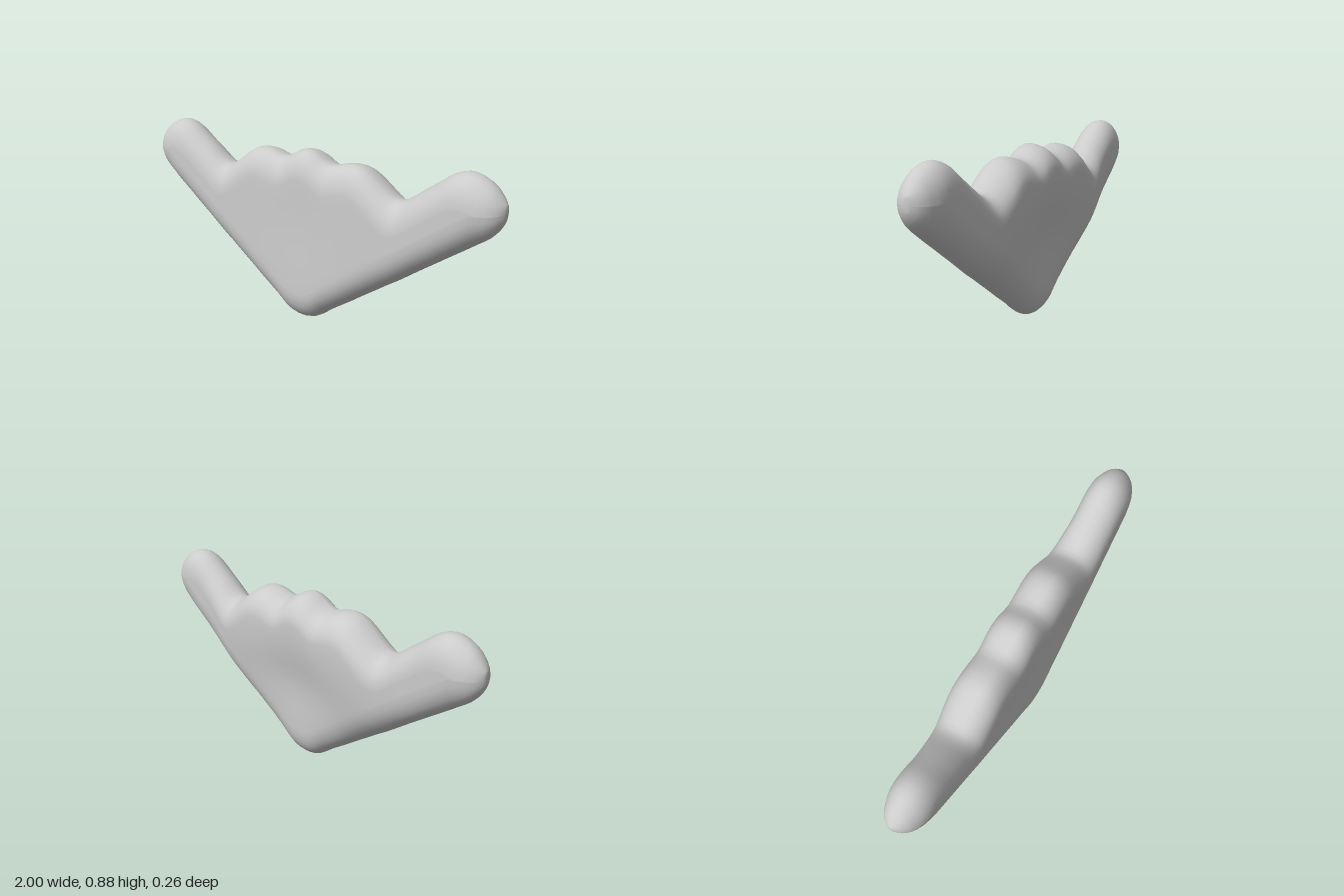
import * as THREE from 'three';

// Half outline: [x, bottom y, top y]
const HALF = [
  [0, 0.003, 0.85], [0.05, 0.01, 0.838], [0.09, 0.03, 0.815], [0.14, 0.068, 0.796], [0.2, 0.108, 0.81],
  [0.26, 0.148, 0.82], [0.32, 0.19, 0.81], [0.38, 0.23, 0.772], [0.45, 0.278, 0.722], [0.5, 0.31, 0.698],
  [0.55, 0.345, 0.713], [0.62, 0.395, 0.764], [0.7, 0.45, 0.82], [0.76, 0.492, 0.862], [0.82, 0.533, 0.882],
  [0.88, 0.575, 0.873], [0.94, 0.618, 0.84], [0.975, 0.658, 0.802], [0.993, 0.69, 0.778], [1, 0.712, 0.765],
];
const ARC = 7, ROWS = 8;
const { smoothstep } = THREE.MathUtils;

// Depth of the front and back faces at a point of the outline
const frontDepth = (x, y) =>
  0.138 - 0.037 * y - 0.006 * Math.exp(-(x * x) / 0.03 - ((y - 0.5) ** 2) / 0.04);
function backDepth(x, y) {
  const ax = Math.abs(x);
  const body = 0.045 * smoothstep(y, 0.12, 0.62) * (1 - smoothstep(ax, 0.35, 0.72));
  const hollow = 0.025 * Math.exp(-(x * x) / 0.05 - ((y - 0.42) ** 2) / 0.025);
  return 0.083 + 0.012 * smoothstep(ax, 0.2, 0.6) + body - hollow;
}

// Rising half of a section: rounded bottom, flat middle, rounded top, as [y, fullness]
function halfProfile(bottom, top) {
  const h = top - bottom;
  const rb = Math.min(h / 2, 0.15), rt = Math.min(h / 2, 0.135);
  const points = [];
  for (let i = 0; i <= ARC; i++) {
    const a = (i / ARC) * Math.PI / 2;
    points.push([bottom + rb * (1 - Math.cos(a)), Math.sin(a)]);
  }
  for (let i = 1; i < ROWS; i++) {
    points.push([THREE.MathUtils.lerp(bottom + rb, top - rt, i / ROWS), 1]);
  }
  for (let i = 0; i <= ARC; i++) {
    const a = (i / ARC) * Math.PI / 2;
    points.push([top - rt * (1 - Math.sin(a)), Math.cos(a)]);
  }
  return points;
}

// Closed loop in the plane of one x: up the front, down the back
function section({ x, y: bottom, z: top }) {
  const t = THREE.MathUtils.clamp((Math.abs(x) - 0.84) / 0.16, 0, 1);
  const taper = Math.max(Math.sqrt(1 - t * t), 0.12);
  const mid = 0.02 * (1 - Math.abs(x));
  const half = halfProfile(bottom, top);
  const front = half.map(([y, w]) => [x, y, mid + w * taper * (frontDepth(x, y) - mid)]);
  const back = half.slice(1, -1).reverse()
    .map(([y, w]) => [x, y, mid - w * taper * (backDepth(x, y) + mid)]);
  return [...front, ...back];
}

function loft(sections) {
  const n = sections[0].length, last = sections.length - 1;
  const positions = sections.flat(2), index = [];
  for (let s = 0; s < last; s++) {
    for (let i = 0; i < n; i++) {
      const j = (i + 1) % n;
      const a = s * n + i, b = s * n + j, c = a + n, d = b + n;
      index.push(a, c, b, b, c, d);
    }
  }
  // Close both tips with a fan
  for (const s of [0, last]) {
    const centre = positions.length / 3;
    const [x, y0] = sections[s][0];
    const y1 = Math.max(...sections[s].map((p) => p[1]));
    positions.push(x, (y0 + y1) / 2, 0);
    for (let i = 0; i < n; i++) {
      const a = s * n + i, b = s * n + ((i + 1) % n);
      if (s === 0) index.push(centre, a, b);
      else index.push(centre, b, a);
    }
  }
  const geometry = new THREE.BufferGeometry();
  geometry.setAttribute('position', new THREE.Float32BufferAttribute(positions, 3));
  geometry.setIndex(index);
  geometry.computeVertexNormals();
  return geometry;
}

export function createModel() {
  const group = new THREE.Group();
  group.name = 'wingShape';

  // Mirror the half outline and smooth it into stations along x
  const stations = [
    ...HALF.slice(1).reverse().map(([x, b, t]) => new THREE.Vector3(-x, b, t)),
    ...HALF.map(([x, b, t]) => new THREE.Vector3(x, b, t)),
  ];
  const curve = new THREE.CatmullRomCurve3(stations);
  const sections = curve.getPoints((stations.length - 1) * 2).map(section);

  const body = new THREE.Mesh(loft(sections), new THREE.MeshStandardMaterial({ color: 0xcccccc }));
  body.name = 'paddedBody';
  group.add(body);
  return group;
}
